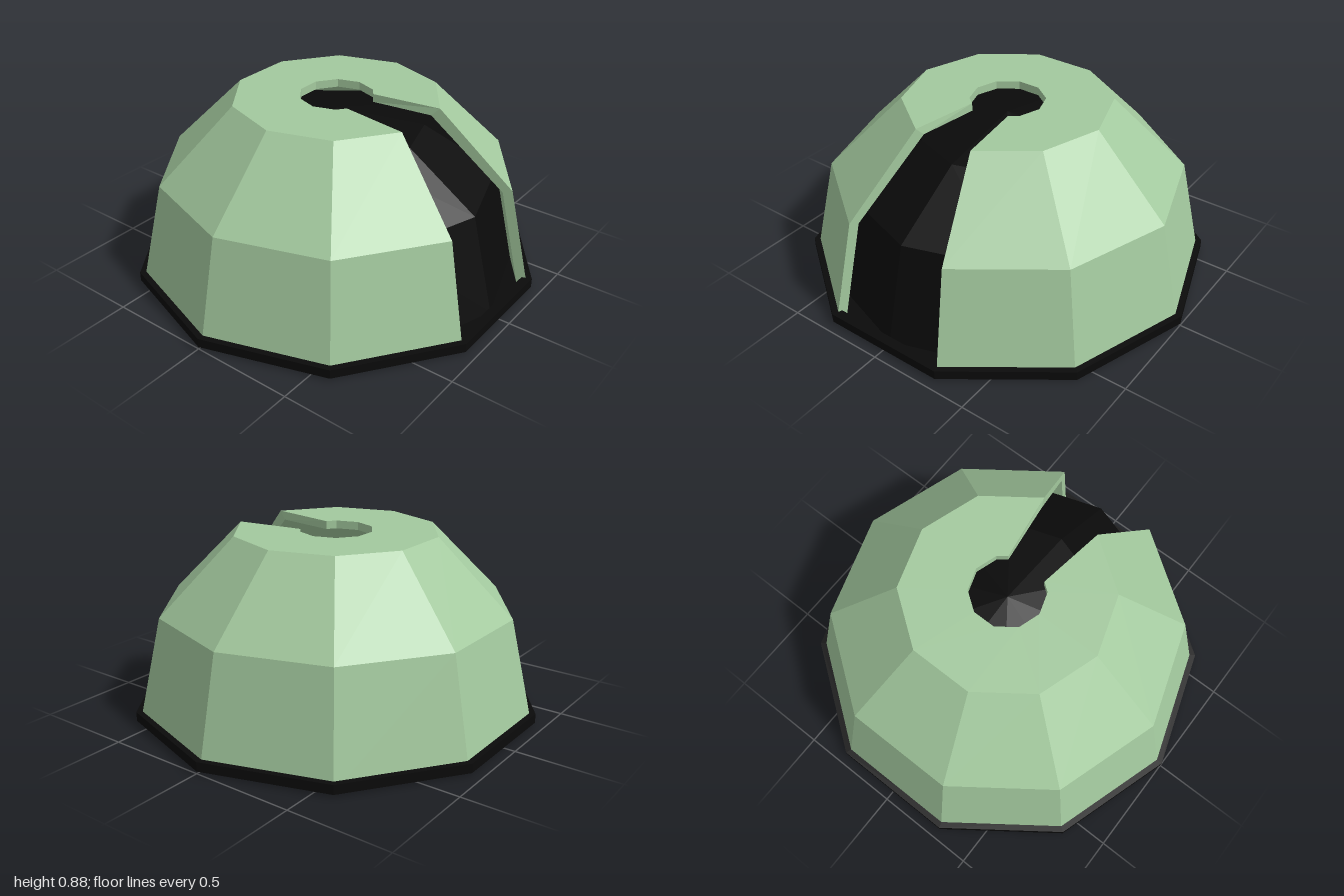
import * as THREE from 'three';

const SIDES = 10, STEP = (Math.PI * 2) / SIDES;
const green = new THREE.MeshStandardMaterial({ color: 0xa3c99e, flatShading: true });
const black = new THREE.MeshStandardMaterial({ color: 0x0a0a0a, flatShading: true, side: THREE.DoubleSide });

// Place an [radius, height] profile at an angle round the y axis
const section = (profile, angle) =>
  profile.map(([r, y]) => [r * Math.cos(angle), y, r * Math.sin(angle)]);

// Join closed cross-sections into a faceted solid; extra quads close its ends
function loft(sections, caps = []) {
  const pos = [];
  const quad = (a, b, c, d) => pos.push(...a, ...b, ...c, ...a, ...c, ...d);
  for (let i = 0; i < sections.length - 1; i++) {
    const s = sections[i], t = sections[i + 1], n = s.length;
    for (let k = 0; k < n; k++) {
      const m = (k + 1) % n;
      quad(s[k], t[k], t[m], s[m]);
    }
  }
  caps.forEach((q) => quad(...q));
  const geometry = new THREE.BufferGeometry();
  geometry.setAttribute('position', new THREE.Float32BufferAttribute(pos, 3));
  geometry.computeVertexNormals();
  return geometry;
}

function ring(profile) {
  const sections = [];
  for (let i = 0; i <= SIDES; i++) sections.push(section(profile, i * STEP));
  return loft(sections);
}

// Ten-sided shell with the front facet left out and a keyhole in its top
function shellGeometry() {
  const profile = [
    [0.18, 0.88], [0.5, 0.88], [0.865, 0.515], [0.98, 0.01],
    [0.93, 0.01], [0.82, 0.5], [0.46, 0.84], [0.18, 0.84],
  ];
  const sections = [];
  for (let i = 0; i < SIDES; i++) sections.push(section(profile, (3 + i) * STEP));
  const first = sections[0], last = sections[SIDES - 1];
  // Slot edges meet the round hole part way along its sides
  for (const [s, side] of [[first, -1], [last, 1]]) {
    for (const k of [0, 7]) {
      s[k][0] = side * 0.103;
      s[k][2] = 0.138;
    }
  }
  const caps = [];
  for (let k = 0; k < 3; k++) {
    caps.push([first[k], first[k + 1], first[6 - k], first[7 - k]]);
    caps.push([last[7 - k], last[6 - k], last[k + 1], last[k]]);
  }
  return loft(sections, caps);
}

export function createModel() {
  const model = new THREE.Group();
  model.name = 'slottedDome';
  const add = (name, geometry, material) => {
    const mesh = new THREE.Mesh(geometry, material);
    mesh.name = name;
    model.add(mesh);
    return mesh;
  };

  add('shell', shellGeometry(), green);

  // Rim under the shell and the dark band round it
  add('baseRim', ring([[0.93, 0.015], [0.975, 0.015], [0.975, 0], [0.93, 0]]), green);
  add('baseBand', ring([[0.95, 0.055], [1, 0.055], [1, 0.01], [0.95, 0.01]]), black);

  // Dark core, turned so that a corner faces the slot
  const core = [[0.9, 0.02], [0.78, 0.49], [0.42, 0.725], [0, 0.81]]
    .map(([r, y]) => new THREE.Vector2(r, y));
  add('innerCore', new THREE.LatheGeometry(core, SIDES), black);

  // Closed underside
  const floor = add('floor', new THREE.CircleGeometry(0.955, SIDES), black);
  floor.rotation.x = Math.PI / 2;
  floor.position.y = 0.012;

  return model;
}
